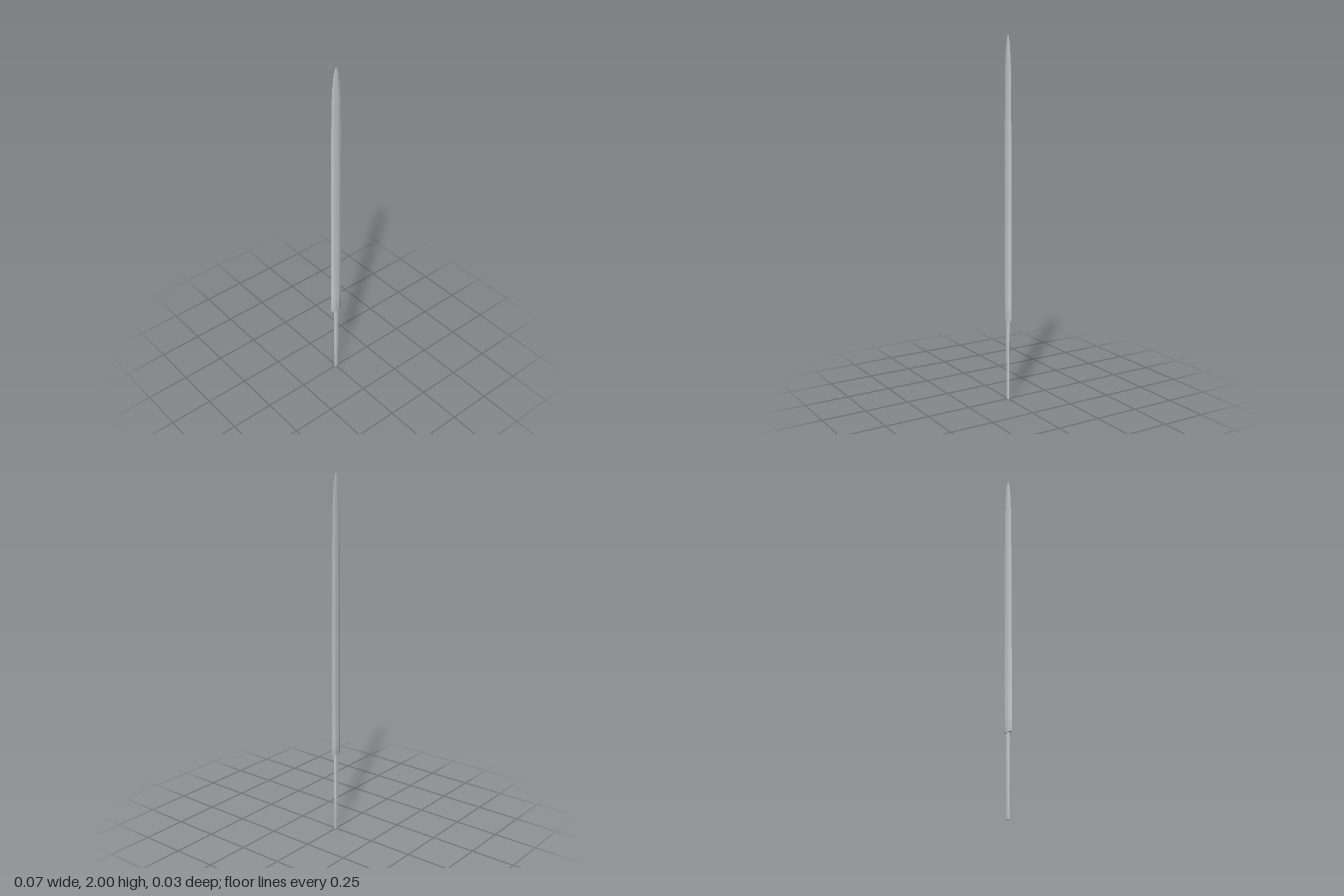
import * as THREE from 'three';
import { toCreasedNormals } from 'three/addons/utils/BufferGeometryUtils.js';

// Lofts a closed cross-section (unit half width, unit half depth) through
// stations of [y, half width, half depth, edge lift], with capped ends.
function loft(section, stations) {
  const n = section.length;
  const pos = [];
  const index = [];
  for (const [y, w, d, lift = 0] of stations) {
    for (const [u, v] of section) pos.push(u * w, y + lift * Math.abs(u), v * d);
  }
  for (let s = 0; s < stations.length - 1; s++) {
    for (let i = 0; i < n; i++) {
      const a = s * n + i, b = s * n + (i + 1) % n;
      index.push(a, a + n, b, b, a + n, b + n);
    }
  }
  const top = (stations.length - 1) * n;
  const c = pos.length / 3;
  pos.push(0, stations[0][0], 0, 0, stations[stations.length - 1][0], 0);
  for (let i = 0; i < n; i++) {
    const j = (i + 1) % n;
    index.push(c, i, j, c + 1, top + j, top + i);
  }
  const geo = new THREE.BufferGeometry();
  geo.setAttribute('position', new THREE.Float32BufferAttribute(pos, 3));
  geo.setIndex(index);
  return toCreasedNormals(geo, 0.5);
}

// Mirrors a quarter outline, running from +x to +z, into a closed loop
function mirrorSection(quarter) {
  const half = [...quarter, ...quarter.slice(0, -1).reverse().map(([u, v]) => [-u, v])];
  const back = half.slice(1, -1).reverse().map(([u, v]) => [u, -v]);
  return [...half, ...back];
}

export function createModel() {
  const group = new THREE.Group();
  group.name = 'swordBlade';
  const material = new THREE.MeshStandardMaterial({ color: 0xcccccc });

  const add = (name, geometry) => {
    const mesh = new THREE.Mesh(geometry, material);
    mesh.name = name;
    group.add(mesh);
  };

  // Blade: thin cutting edges, hollow bevels and a shallow central ridge
  const bladeSection = mirrorSection([[1, 0], [0.75, 0.32], [0.55, 0.7], [0.25, 0.94], [0, 1]]);
  add('blade', loft(bladeSection, [
    [0.452, 0.034, 0.012, 0.003],
    [0.458, 0.0365, 0.013, 0.002],
    [0.55, 0.0365, 0.0115],
    [0.77, 0.036, 0.0088],
    [1.15, 0.035, 0.0082],
    [1.4, 0.034, 0.0076],
    [1.56, 0.0325, 0.0068],
    [1.75, 0.030, 0.0052],
    [1.84, 0.0275, 0.0045],
    [1.9, 0.0235, 0.0038],
    [1.94, 0.019, 0.0032],
    [1.97, 0.0135, 0.0026],
    [1.99, 0.0075, 0.002],
    [2.0, 0.001, 0.001],
  ]));

  // Tang: narrow bar with rounded sides, thinning toward its end
  const tangSection = mirrorSection([[1, 0], [0.92, 0.5], [0.7, 0.8], [0.35, 0.96], [0, 1]]);
  add('tang', loft(tangSection, [
    [0, 0.012, 0.0045],
    [0.15, 0.0125, 0.0068],
    [0.32, 0.013, 0.008],
    [0.47, 0.0135, 0.0085],
  ]));

  return group;
}
